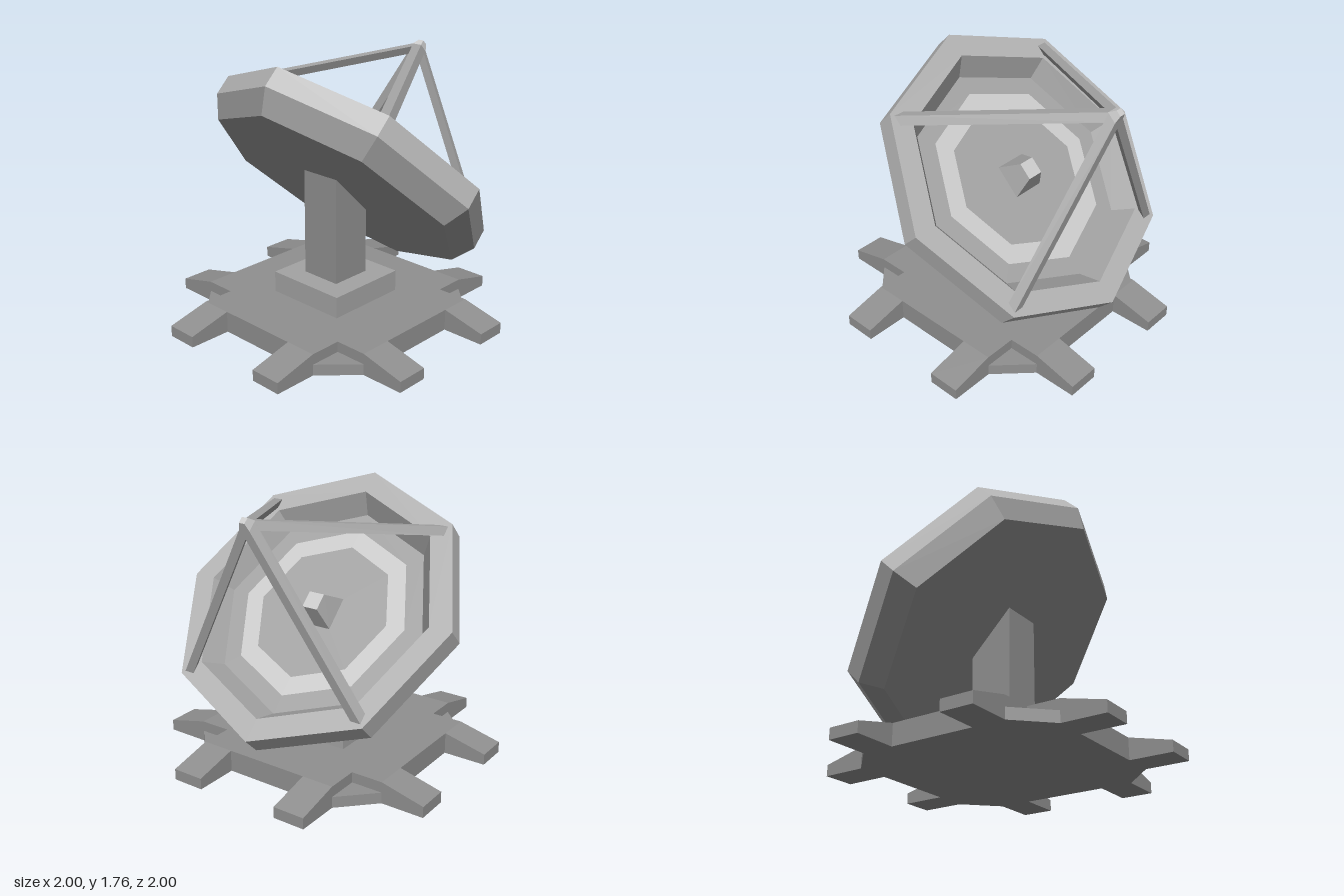
import * as THREE from 'three';

const paint = (color) => new THREE.MeshStandardMaterial({ color, flatShading: true });
const dark = paint(0x909090);
const shade = paint(0x989898);
const mid = paint(0xa3a3a3);
const light = paint(0xb2b2b2);
const pale = paint(0xcccccc);

function add(parent, name, geometry, material) {
  const flat = geometry.index ? geometry.toNonIndexed() : geometry;
  flat.computeVertexNormals();
  const mesh = new THREE.Mesh(flat, material);
  mesh.name = name;
  parent.add(mesh);
  return mesh;
}

// Extrudes an outline by depth, centred on its extrusion axis
function prism(points, depth) {
  const shape = new THREE.Shape(points.map(([x, y]) => new THREE.Vector2(x, y)));
  return new THREE.ExtrudeGeometry(shape, { depth, bevelEnabled: false }).translate(0, 0, -depth / 2);
}

// Eight-sided surface of revolution, profile given as [radius, height]
function octagon(points) {
  return new THREE.LatheGeometry(points.map(([r, y]) => new THREE.Vector2(r, y)), 8);
}

// Square frustum with half-widths at the bottom and top
function frustum(bottom, top, y0, y1) {
  return new THREE.CylinderGeometry(top * Math.SQRT2, bottom * Math.SQRT2, y1 - y0, 4)
    .rotateY(Math.PI / 4).translate(0, (y0 + y1) / 2, 0);
}

function buildBase() {
  const base = new THREE.Group();
  base.name = 'base';
  const a = 0.5, b = 0.713, h = 0.143, low = 0.073;

  // Cross-shaped plate
  const cross = [[a, b], [-a, b], [-a, a], [-b, a], [-b, -a], [-a, -a],
    [-a, -b], [a, -b], [a, -a], [b, -a], [b, a], [a, a]];
  add(base, 'plate', prism(cross, h).rotateX(-Math.PI / 2).translate(0, h / 2, 0), dark);

  for (let i = 0; i < 4; i++) {
    const side = new THREE.Group();
    side.name = 'baseSide';
    side.rotation.y = i * Math.PI / 2;
    base.add(side);
    // Sloping feet
    for (const s of [-1, 1]) {
      const foot = prism([[b, 0], [1, 0], [1, low], [b, h]], 0.215);
      add(side, 'foot', foot.translate(0, 0, s * 0.3925), dark);
    }
    // Low ledge filling the corner
    const ledge = prism([[a, a], [b, a], [a, b]], low);
    add(side, 'cornerLedge', ledge.rotateX(-Math.PI / 2).translate(0, low / 2, 0), dark);
  }
  return base;
}

function buildDish() {
  const dish = new THREE.Group();
  dish.name = 'dish';
  const floor = -0.135;

  // Shell, from the back round the rim to the middle of the floor
  add(dish, 'back', octagon([[0, -0.286], [0.887, -0.286], [0.983, -0.141]]), shade);
  add(dish, 'rim', octagon([[0.983, -0.141], [0.983, 0], [0.83, 0]]), light);
  add(dish, 'innerWall', octagon([[0.83, 0], [0.735, floor], [0.61, floor]]), mid);
  add(dish, 'floorBand', octagon([[0.61, floor], [0.48, floor]]), pale);
  add(dish, 'floorCentre', octagon([[0.48, floor], [0, floor]]), mid);

  // Receiver with a pale top
  add(dish, 'receiver', frustum(0.11, 0.055, floor, 0), mid);
  add(dish, 'receiverTop', new THREE.PlaneGeometry(0.11, 0.11).rotateX(-Math.PI / 2).translate(0, 0.002, 0), pale);

  // Four struts leaning in to the feed
  const height = 0.875, reach = 0.64, w = 0.068;
  for (const sx of [-1, 1]) for (const sz of [-1, 1]) {
    const geo = new THREE.BoxGeometry(w, height, w).translate(0, height / 2, 0);
    const p = geo.attributes.position;
    for (let i = 0; i < p.count; i++) {
      const k = reach * (1 - p.getY(i) / height);
      p.setX(i, p.getX(i) + sx * k);
      p.setZ(i, p.getZ(i) + sz * k);
    }
    add(dish, 'strut', geo, mid);
  }
  add(dish, 'feedTip', frustum(0.038, 0.02, 0.868, 0.918), pale);

  dish.position.set(0, 1.065, -0.205);
  dish.rotation.x = -Math.PI / 4;
  return dish;
}

export function createModel() {
  const model = new THREE.Group();
  model.name = 'dishAntenna';
  model.add(buildBase());

  add(model, 'plinth', new THREE.BoxGeometry(0.572, 0.143, 0.572).translate(0, 0.2145, 0), mid);

  // Mast, cut at a slant to meet the back of the dish
  const m = 0.142;
  const mast = prism([[-m, 0.286], [m, 0.286], [m, 0.724], [-m, 1.004]], 2 * m);
  add(model, 'mast', mast.rotateY(Math.PI / 2), dark);

  model.add(buildDish());
  return model;
}
